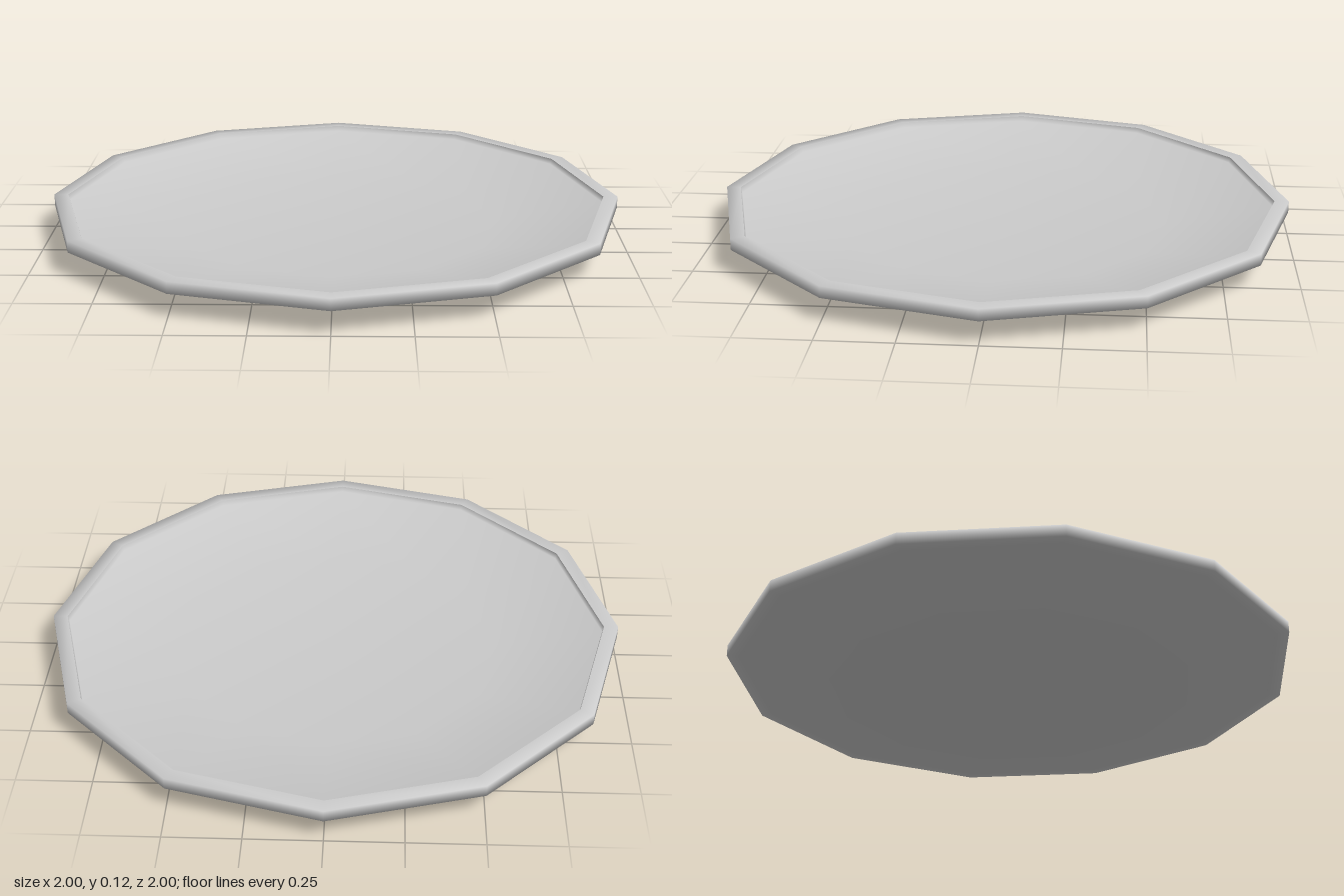
import * as THREE from 'three';

const SIDES = 12;

export function createModel() {
  const group = new THREE.Group();
  group.name = 'dish';
  const material = new THREE.MeshStandardMaterial({ color: 0xcccccc });

  // Each part is a twelve-sided turned profile, smooth within itself
  const turn = (name, profile) => {
    const points = profile.map(([r, y]) => new THREE.Vector2(r, y));
    const mesh = new THREE.Mesh(new THREE.LatheGeometry(points, SIDES), material);
    mesh.name = name;
    group.add(mesh);
  };

  // Flat foot and shallow sloping underside
  turn('underside', [[0, 0], [0.56, 0], [0.95, 0.08]]);
  // Raised band around the edge
  turn('rim', [[0.95, 0.08], [1, 0.08], [1, 0.12], [0.95, 0.12]]);
  // Small step below the rim, then the sloping wall and flat floor
  turn('innerBowl', [[0.95, 0.12], [0.945, 0.1], [0.57, 0.025], [0, 0.025]]);

  return group;
}
